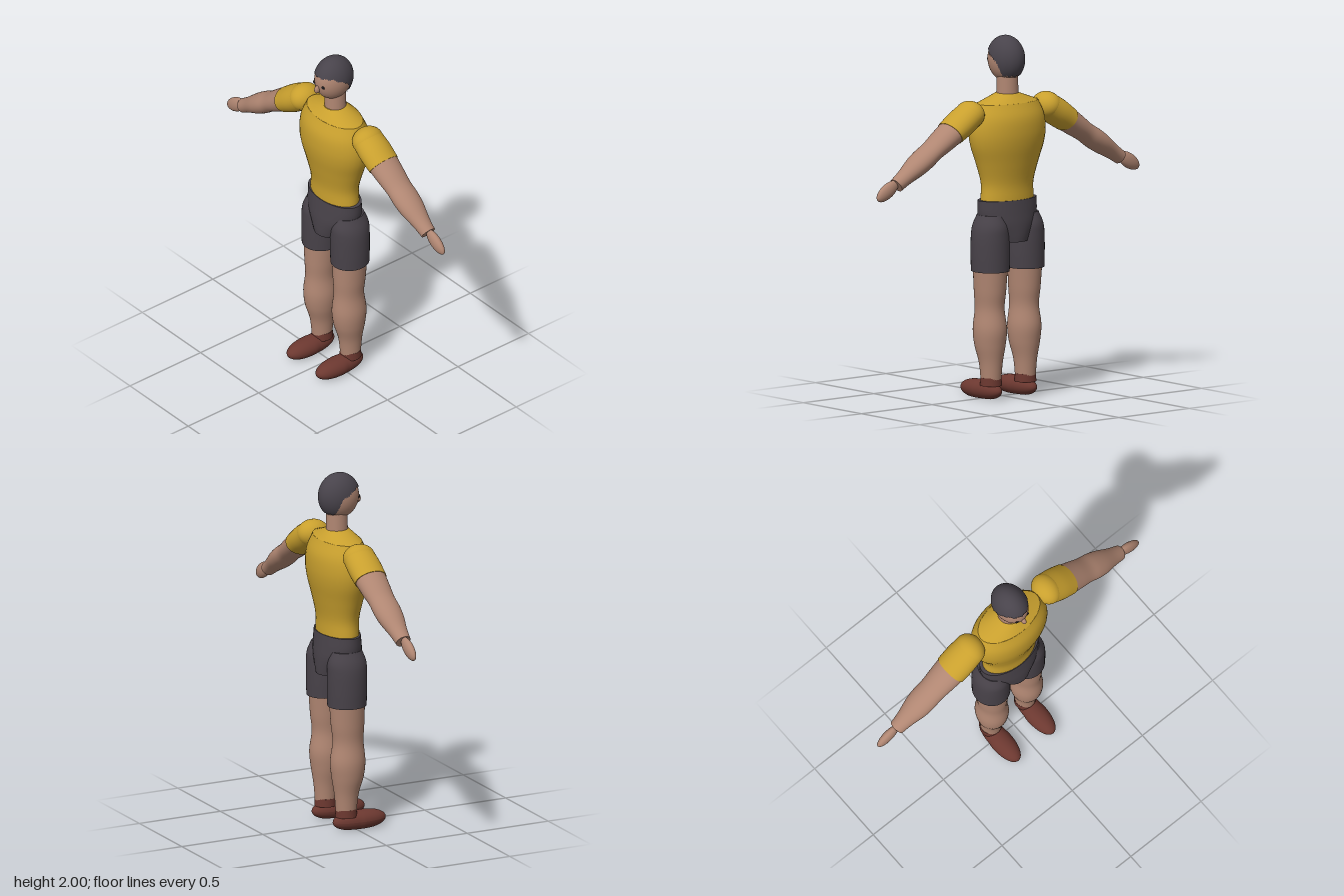
import * as THREE from 'three';

const mat = (name, color) => Object.assign(new THREE.MeshStandardMaterial({ color }), { name });
const AXIS_Z = -0.04;

// Smooth elliptical loft; rings are [y, radiusX, radiusZ, centreX, centreZ] with y rising
function loft(rings, steps = 28, sides = 36) {
  const size = new THREE.CatmullRomCurve3(rings.map(r => new THREE.Vector3(r[1], r[0], r[2])), false, 'catmullrom', 0.5);
  const mid = new THREE.CatmullRomCurve3(rings.map(r => new THREE.Vector3(r[3] || 0, r[0], r[4] || 0)), false, 'catmullrom', 0.5);
  const pos = [], idx = [];
  const ring = t => {
    const s = size.getPoint(t), c = mid.getPoint(t);
    for (let j = 0; j < sides; j++) {
      const a = j / sides * Math.PI * 2;
      pos.push(c.x + Math.cos(a) * s.x, s.y, c.z + Math.sin(a) * s.z);
    }
    return c;
  };
  for (let i = 0; i <= steps; i++) ring(i / steps);
  for (let i = 0; i < steps; i++) for (let j = 0; j < sides; j++) {
    const a = i * sides + j, b = i * sides + (j + 1) % sides;
    idx.push(a, a + sides, b, b, a + sides, b + sides);
  }
  // End caps with their own vertices keep the rims sharp
  for (const t of [0, 1]) {
    const start = pos.length / 3, c = ring(t), centre = start + sides;
    pos.push(c.x, c.y, c.z);
    for (let j = 0; j < sides; j++) {
      const a = start + j, b = start + (j + 1) % sides;
      if (t) idx.push(centre, b, a); else idx.push(centre, a, b);
    }
  }
  const g = new THREE.BufferGeometry();
  g.setAttribute('position', new THREE.Float32BufferAttribute(pos, 3));
  g.setIndex(idx);
  g.computeVertexNormals();
  return g;
}

function ellipsoid(rx, ry, rz, w = 32, h = 24) {
  return new THREE.SphereGeometry(1, w, h).scale(rx, ry, rz);
}

// Cap of hair whose lower edge drops from the forehead to the nape
function hairGeometry(rx, ry, rz) {
  const g = new THREE.SphereGeometry(1, 64, 24);
  const p = g.attributes.position, uv = g.attributes.uv;
  for (let i = 0; i < p.count; i++) {
    const a = uv.getX(i) * Math.PI * 2;
    const back = -Math.cos(a); // -1 at the face, 1 at the nape
    const edge = back < -0.6 ? 0.34
      : back < 0.1 ? THREE.MathUtils.lerp(0.34, 0, (back + 0.6) / 0.7)
      : THREE.MathUtils.lerp(0, -0.72, THREE.MathUtils.smoothstep(back, 0.1, 0.6));
    const wave = 0.025 * Math.sin(a * 14);
    const theta = (1 - uv.getY(i)) * Math.acos(edge + wave);
    p.setXYZ(i, Math.sin(a) * Math.sin(theta) * rx, Math.cos(theta) * ry, Math.cos(a) * Math.sin(theta) * rz);
  }
  g.computeVertexNormals();
  return g;
}

// Rounded shoe with a flat sole
function shoeGeometry() {
  const g = ellipsoid(1, 1, 1, 32, 32).rotateX(Math.PI / 2);
  const p = g.attributes.position;
  for (let i = 0; i < p.count; i++) {
    const z = p.getZ(i), r = Math.hypot(p.getX(i), p.getY(i)) || 1;
    const full = Math.pow(1 - Math.min(1, Math.abs(z) ** 2.5), 0.5) / r;
    const k = r > 1e-4 ? full : 0;
    const heel = z < 0 ? 0.94 : 1;
    p.setXYZ(i, p.getX(i) * k * 0.062 * heel, Math.max(0, 0.046 + p.getY(i) * k * 0.054), z * 0.16);
  }
  g.computeVertexNormals();
  return g;
}

export function createModel() {
  const skin = mat('skin', 0xb08672);
  const shirt = mat('yellow shirt', 0xc9a02e);
  const dark = mat('charcoal shorts', 0x484249);
  const hairMat = mat('hair', 0x48434b);
  hairMat.side = THREE.DoubleSide;
  const leather = mat('brown leather', 0x6c3830);
  const black = mat('eye black', 0x1c1a1e);

  const model = new THREE.Group();
  model.name = 'standingMan';
  const add = (name, geometry, material, x = 0, y = 0, z = 0, parent = model) => {
    const m = new THREE.Mesh(geometry, material);
    m.name = name;
    m.position.set(x, y, z);
    parent.add(m);
    return m;
  };

  // Torso and sloping shoulders
  add('torso', loft([
    [1.1, 0.17, 0.103], [1.19, 0.166, 0.104], [1.3, 0.197, 0.125], [1.4, 0.232, 0.146],
    [1.48, 0.243, 0.153], [1.56, 0.232, 0.145], [1.635, 0.2, 0.112]
  ]), shirt, 0, 0, AXIS_Z);
  add('shoulders', loft([[1.634, 0.2, 0.112], [1.685, 0.06, 0.062]], 2), shirt, 0, 0, AXIS_Z);

  // Hips of the shorts
  add('hips', loft([
    [0.87, 0.105, 0.122], [0.91, 0.13, 0.124], [0.97, 0.172, 0.122], [1.03, 0.188, 0.115], [1.1, 0.19, 0.106]
  ]), dark, 0, 0, AXIS_Z);

  // Neck and head
  add('neck', new THREE.CylinderGeometry(0.058, 0.061, 0.15, 32), skin, 0, 1.725, -0.043);
  const head = new THREE.Group();
  head.name = 'head';
  head.position.set(0, 1.87, -0.03);
  model.add(head);
  add('face', ellipsoid(0.09, 0.125, 0.115), skin, 0, 0, 0, head);
  add('hair', hairGeometry(0.095, 0.13, 0.12), hairMat, 0, 0, 0, head);
  add('nose', ellipsoid(0.014, 0.024, 0.02, 16, 12), skin, 0, -0.032, 0.114, head);

  for (const s of [1, -1]) {
    const side = s > 0 ? 'left' : 'right';
    add(side + 'Eye', ellipsoid(0.012, 0.01, 0.006, 16, 12), black, s * 0.036, -0.008, 0.104, head);

    // Arm hanging outwards from the shoulder
    const arm = new THREE.Group();
    arm.name = side + 'Arm';
    arm.position.set(s * 0.272, 1.588, -0.048);
    arm.rotation.z = s * 0.992;
    model.add(arm);
    add(side + 'ShoulderBall', ellipsoid(0.076, 0.076, 0.092), shirt, 0, 0, 0, arm);
    add(side + 'Sleeve', loft([[-0.165, 0.071, 0.094], [-0.08, 0.077, 0.096], [0, 0.074, 0.091]], 10), shirt, 0, 0, 0, arm);
    add(side + 'Forearm', loft([
      [-0.622, 0.04, 0.043], [-0.55, 0.044, 0.053], [-0.46, 0.056, 0.072], [-0.39, 0.059, 0.078],
      [-0.32, 0.056, 0.077], [-0.24, 0.063, 0.084], [-0.15, 0.069, 0.091]
    ]), skin, 0, 0, 0, arm);
    const hand = add(side + 'Hand', ellipsoid(0.041, 0.083, 0.026), skin, s * 0.855, 1.222, -0.048);
    hand.rotation.z = s * 1.02;

    // Leg, trouser leg and shoe
    const cx = s * 0.122;
    add(side + 'ShortsLeg', loft([
      [0.71, 0.104, 0.109], [0.8, 0.106, 0.111], [0.9, 0.103, 0.112], [0.96, 0.092, 0.108], [1.02, 0.065, 0.085]
    ]), dark, s * 0.123, 0, -0.045);
    add(side + 'Leg', loft([
      [0.08, 0.054, 0.056, 0, -0.05], [0.2, 0.063, 0.068, 0, -0.048], [0.3, 0.083, 0.09, 0, -0.041],
      [0.39, 0.09, 0.099, 0, -0.04], [0.5, 0.078, 0.087, 0, -0.038], [0.6, 0.085, 0.094, 0, -0.041],
      [0.73, 0.093, 0.1, 0, -0.044]
    ], 36), skin, cx, 0, 0);
    add(side + 'AnkleCuff', new THREE.CylinderGeometry(0.058, 0.06, 0.045, 32), leather, cx, 0.098, -0.05);
    add(side + 'Shoe', shoeGeometry(), leather, s * 0.124, 0, 0.03);
  }
  return model;
}
